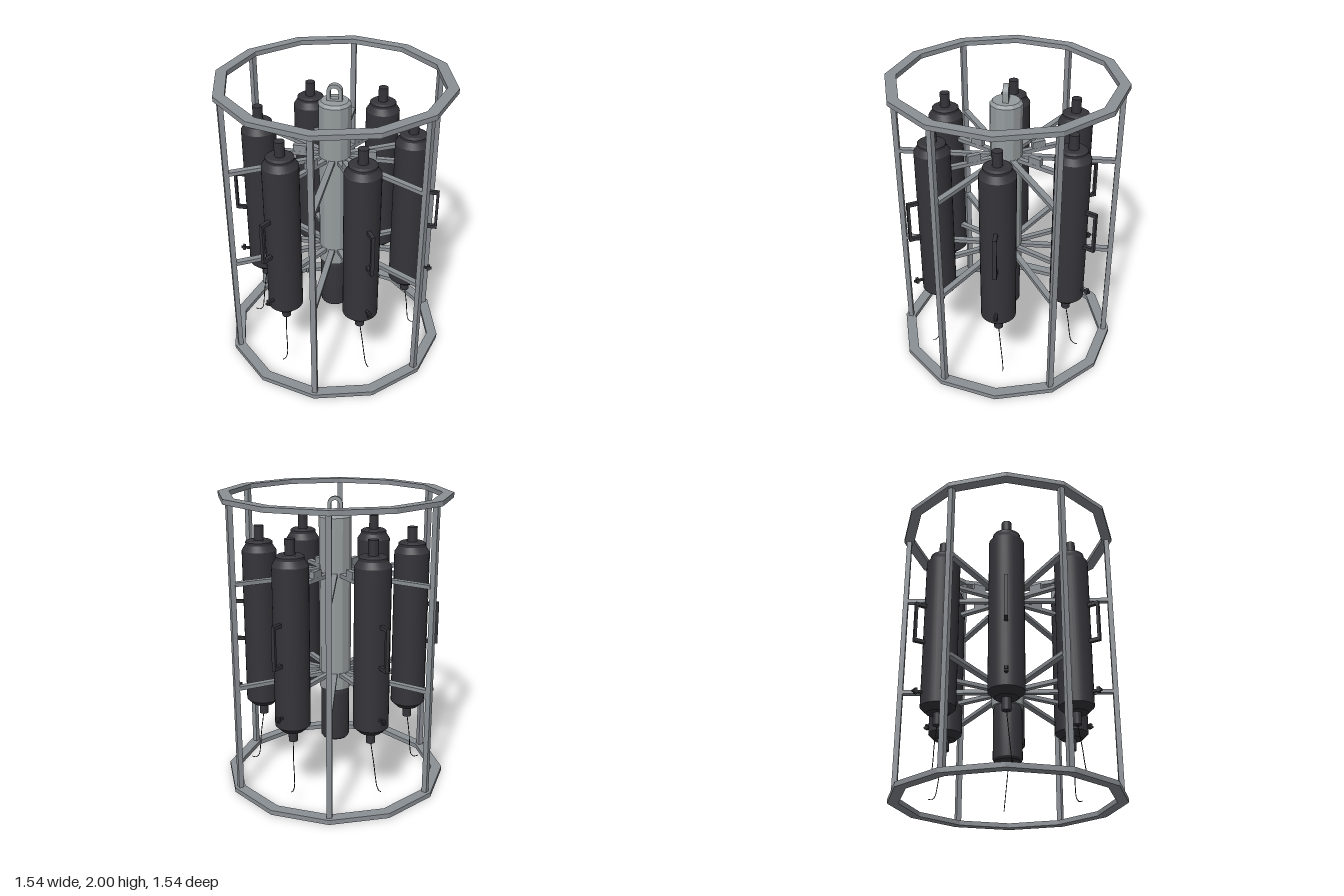
import * as THREE from 'three';
import { toCreasedNormals } from 'three/addons/utils/BufferGeometryUtils.js';

const paint = (name, color) => {
  const m = new THREE.MeshStandardMaterial({ color });
  m.name = name;
  return m;
};

export function createModel() {
  const frameGrey = paint('frame grey', 0x8b9095);
  const housingGrey = paint('housing grey', 0x969c9e);
  const darkPlastic = paint('dark plastic', 0x35353a);
  const wireBlack = paint('wire black', 0x1c1c1e);

  const model = new THREE.Group();
  model.name = 'waterSampler';

  const add = (parent, name, geometry, material, x = 0, y = 0, z = 0) => {
    const mesh = new THREE.Mesh(geometry, material);
    mesh.name = name;
    mesh.position.set(x, y, z);
    parent.add(mesh);
    return mesh;
  };
  const box = (parent, name, w, h, d, material, x, y, z = 0) =>
    add(parent, name, new THREE.BoxGeometry(w, h, d), material, x, y, z);
  const lathe = (points, sides, crease) =>
    toCreasedNormals(
      new THREE.LatheGeometry(points.map(([r, y]) => new THREE.Vector2(r, y)), sides), crease);
  // Group turned about the vertical axis; its local +x points outward
  const sector = (name, angle) => {
    const g = new THREE.Group();
    g.name = name;
    g.rotation.y = angle;
    model.add(g);
    return g;
  };

  // Twelve-sided top and bottom rings
  const polygon = (r) => Array.from({ length: 12 }, (_, i) =>
    new THREE.Vector2(r * Math.cos(i * Math.PI / 6), r * Math.sin(i * Math.PI / 6)));
  const ringShape = new THREE.Shape(polygon(0.768));
  ringShape.holes.push(new THREE.Path(polygon(0.695)));
  const ringGeometry = new THREE.ExtrudeGeometry(ringShape, { depth: 0.032, bevelEnabled: false });
  ringGeometry.rotateX(-Math.PI / 2);
  add(model, 'bottomRing', ringGeometry, frameGrey);
  add(model, 'topRing', ringGeometry, frameGrey, 0, 1.968, 0);

  // Central housing, lower weight and lifting eye
  add(model, 'housing', lathe([
    [0, 0.65], [0.108, 0.65], [0.108, 1.84], [0.09, 1.86], [0, 1.86],
  ], 12, 0.3), housingGrey);
  add(model, 'lowerWeight', lathe([
    [0, 0.27], [0.088, 0.27], [0.098, 0.285], [0.098, 0.62], [0.09, 0.652], [0, 0.652],
  ], 24, 0.3), darkPlastic);

  const eye = new THREE.Shape();
  eye.moveTo(-0.05, 0);
  eye.lineTo(0.05, 0);
  eye.lineTo(0.05, 0.065);
  eye.absarc(0, 0.065, 0.05, 0, Math.PI, false);
  eye.lineTo(-0.05, 0);
  const slot = new THREE.Path();
  slot.moveTo(-0.026, 0.02);
  slot.lineTo(-0.026, 0.065);
  slot.absarc(0, 0.065, 0.026, Math.PI, 0, true);
  slot.lineTo(0.026, 0.02);
  slot.lineTo(-0.026, 0.02);
  eye.holes.push(slot);
  add(model, 'liftingEye',
    new THREE.ExtrudeGeometry(eye, { depth: 0.036, bevelEnabled: false, curveSegments: 12 }),
    housingGrey, 0, 1.855, -0.018);

  // Six posts, each tied to the centre by two long spokes
  for (let i = 0; i < 6; i++) {
    const g = sector('postSector', Math.PI / 6 + i * Math.PI / 3);
    box(g, 'post', 0.034, 1.95, 0.036, frameGrey, 0.728, 1, 0);
    for (const y of [0.76, 1.463]) {
      box(g, 'longSpoke', 0.63, 0.026, 0.04, frameGrey, 0.4, y);
    }
  }

  // Shared bottle geometry
  const bottleGeometry = lathe([
    [0, 0.43], [0.03, 0.43], [0.03, 0.51], [0.075, 0.51], [0.116, 0.55],
    [0.116, 1.61], [0.09, 1.65], [0.09, 1.668], [0.075, 1.678], [0.033, 1.678],
    [0.033, 1.775], [0, 1.775],
  ], 32, 0.4);
  const wireCurve = new THREE.CatmullRomCurve3([
    [0.51, 0.435, 0], [0.53, 0.28, -0.015], [0.538, 0.18, -0.025],
    [0.55, 0.11, -0.032], [0.572, 0.09, -0.035], [0.6, 0.098, -0.036],
  ].map((p) => new THREE.Vector3(...p)));
  const wireGeometry = new THREE.TubeGeometry(wireCurve, 24, 0.003, 5);

  // Six bottles with short spokes, handle, spigot and trailing wire
  for (let i = 0; i < 6; i++) {
    const g = sector('bottleSector', i * Math.PI / 3);
    add(g, 'bottle', bottleGeometry, darkPlastic, 0.508, 0, 0);
    for (const y of [0.76, 1.463]) {
      box(g, 'shortSpoke', 0.34, 0.026, 0.036, frameGrey, 0.25, y);
    }
    box(g, 'latchBlock', 0.09, 0.048, 0.034, frameGrey, 0.232, 1.498);
    box(g, 'handleGrip', 0.018, 0.29, 0.024, darkPlastic, 0.692, 1.12);
    for (const y of [0.987, 1.253]) {
      box(g, 'handleArm', 0.08, 0.024, 0.024, darkPlastic, 0.652, y);
    }
    box(g, 'spigot', 0.08, 0.014, 0.016, darkPlastic, 0.65, 0.633);
    box(g, 'spigotKnob', 0.018, 0.036, 0.026, darkPlastic, 0.668, 0.635);
    add(g, 'wire', wireGeometry, wireBlack);
  }

  return model;
}
